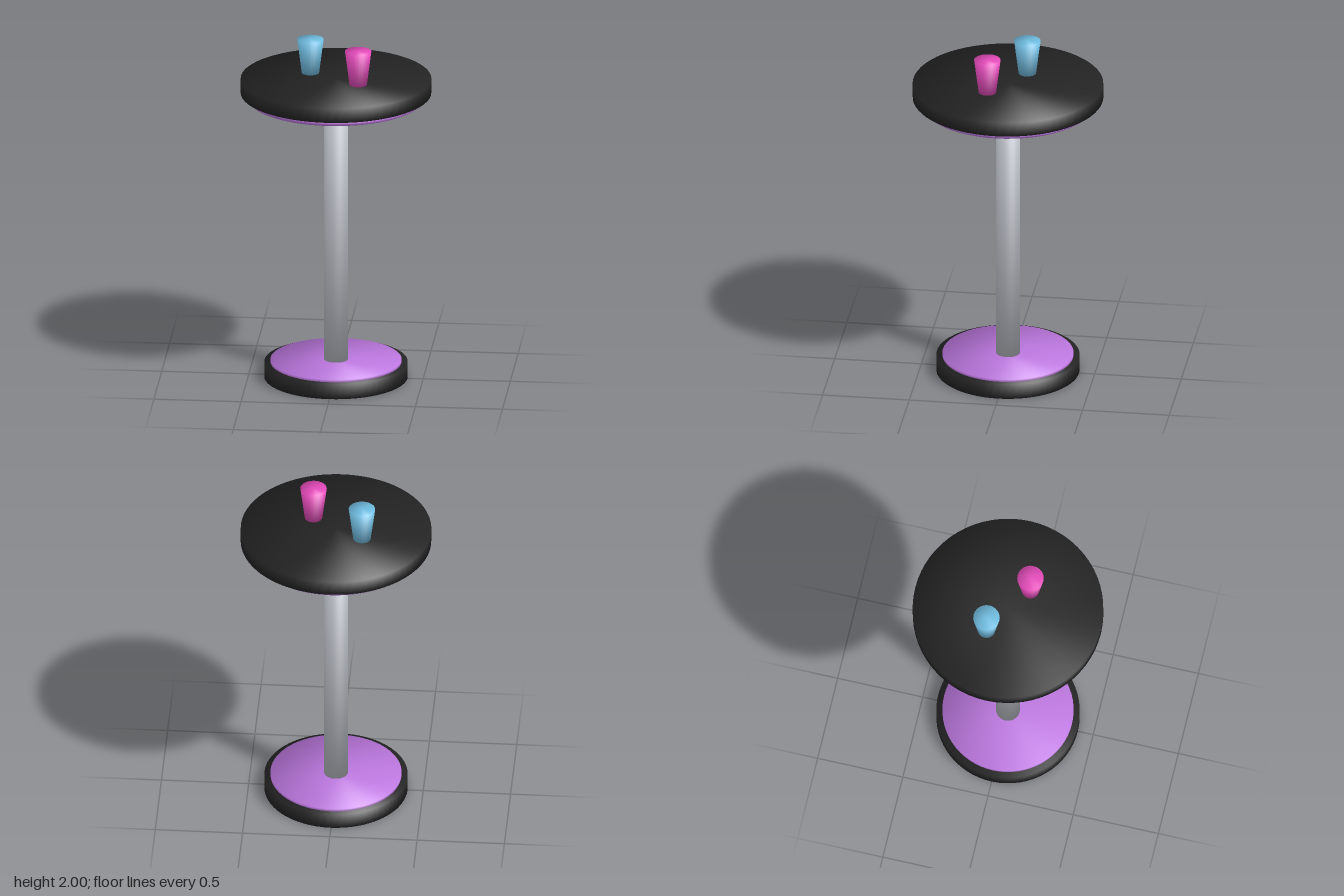
import * as THREE from 'three';

const paint = (name, color) => {
  const m = new THREE.MeshStandardMaterial({ color });
  m.name = name;
  return m;
};

// Capped cylinder from y0 to y1 whose normals blend softly over the rims
function softCylinder(topRadius, bottomRadius, y0, y1, segments) {
  const g = new THREE.CylinderGeometry(topRadius, bottomRadius, y1 - y0, segments);
  const p = g.attributes.position, n = g.attributes.normal;
  const v = new THREE.Vector3();
  for (let i = 0; i < p.count; i++) {
    v.set(p.getX(i), 0, p.getZ(i)).normalize();
    v.y = Math.sign(p.getY(i));
    v.normalize();
    n.setXYZ(i, v.x, v.y, v.z);
  }
  return g.translate(0, (y0 + y1) / 2, 0);
}

export function createModel() {
  const group = new THREE.Group();
  group.name = 'cocktailTable';

  const black = paint('black', 0x242424);
  const silver = paint('silver', 0xc2c6ce);
  const purple = paint('purple', 0xbd78e0);
  const blue = paint('sky blue', 0x70bce0);
  const pink = paint('pink', 0xe44aba);

  const add = (name, geometry, material, x = 0, z = 0) => {
    const mesh = new THREE.Mesh(geometry, material);
    mesh.name = name;
    mesh.position.set(x, 0, z);
    group.add(mesh);
  };

  // Foot, its coloured plate and the column
  add('base', softCylinder(0.41, 0.41, 0, 0.09, 64), black);
  add('basePlate', softCylinder(0.375, 0.375, 0.085, 0.105, 64), purple);
  add('column', softCylinder(0.068, 0.068, 0.09, 1.72, 32), silver);

  // Table top with a glowing ring underneath
  add('tableTop', softCylinder(0.545, 0.545, 1.712, 1.797, 64), black);
  const ring = new THREE.TorusGeometry(0.495, 0.018, 12, 64);
  ring.rotateX(Math.PI / 2).translate(0, 1.695, 0);
  add('lightRing', ring, purple);

  // Two tapered cups
  const cup = softCylinder(0.076, 0.05, 1.795, 2, 24);
  add('blueCup', cup, blue, -0.155, -0.09);
  add('pinkCup', cup, pink, 0.136, 0.1);

  return group;
}
